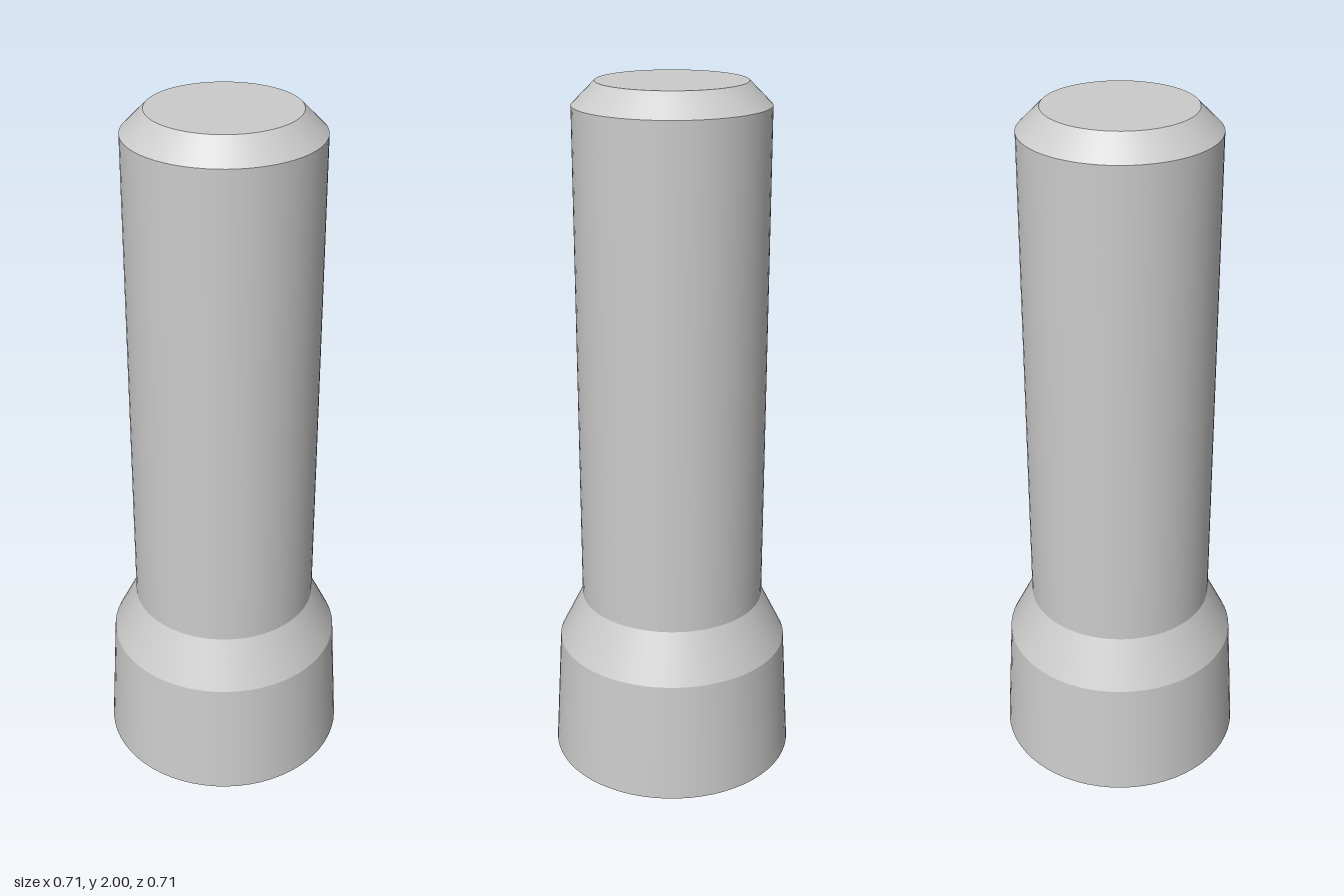
import * as THREE from 'three';

const SEGMENTS = 64;
const material = new THREE.MeshStandardMaterial({ color: 0xcccccc });

// One revolved band between two [radius, height] points; separate bands keep the edges sharp
function band(name, from, to) {
  const points = [new THREE.Vector2(...from), new THREE.Vector2(...to)];
  const mesh = new THREE.Mesh(new THREE.LatheGeometry(points, SEGMENTS), material);
  mesh.name = name;
  return mesh;
}

export function createModel() {
  const group = new THREE.Group();
  group.name = 'flaredPeg';

  // Profile runs from the recess floor, out around the rim and up to the top centre
  const profile = [
    [0, 0.125], [0.296, 0.125], [0.296, 0], [0.357, 0], [0.337, 0.36],
    [0.268, 0.5], [0.268, 1.937], [0.205, 2], [0, 2],
  ];
  const names = [
    'recessFloor', 'recessWall', 'baseRim', 'taperedBase',
    'shoulder', 'shaft', 'topChamfer', 'topFace',
  ];
  names.forEach((name, i) => group.add(band(name, profile[i], profile[i + 1])));

  return group;
}
